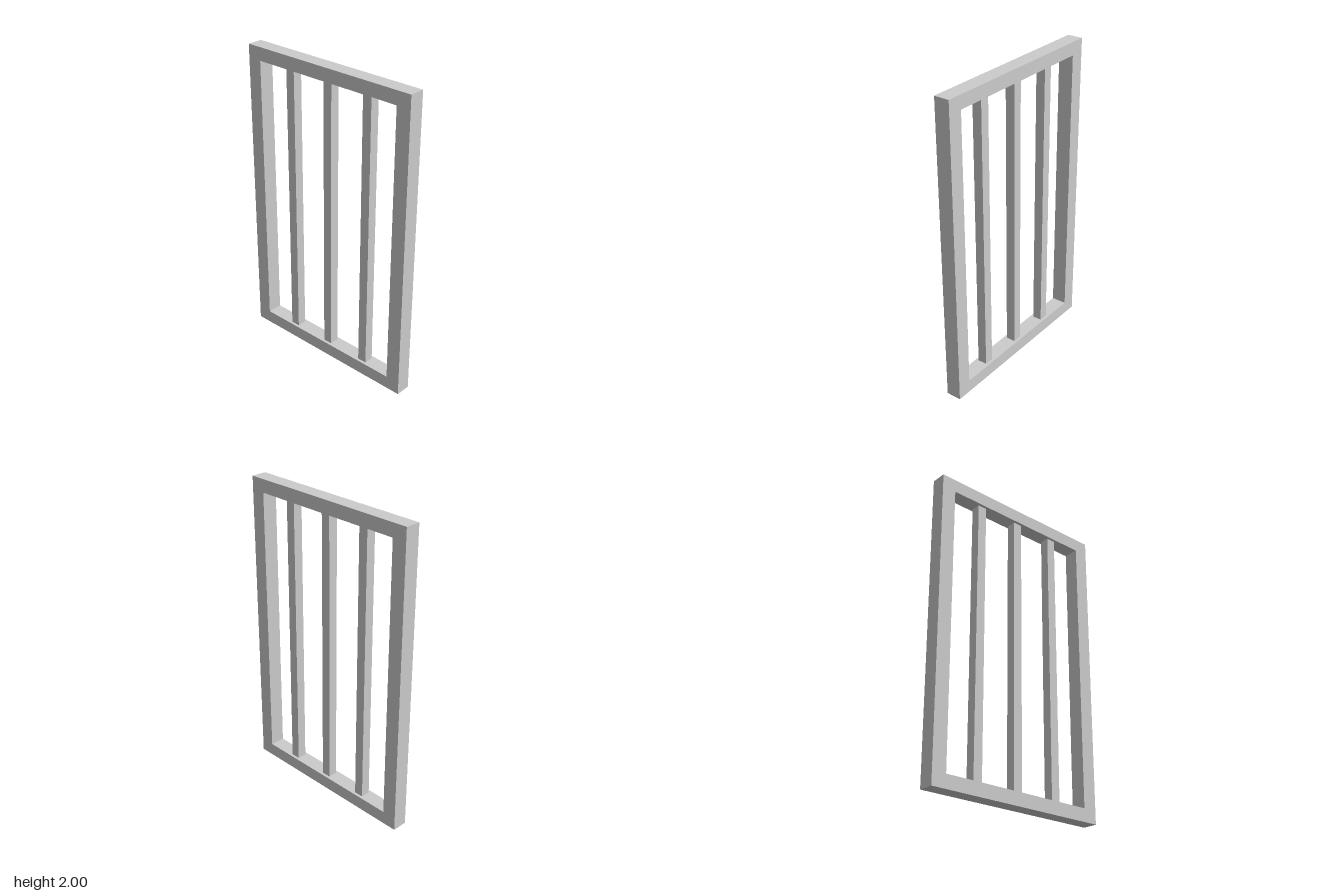
import * as THREE from 'three';

const material = new THREE.MeshStandardMaterial({ color: 0xcccccc, flatShading: true });

// Counter-clockwise rectangle outline
function rectangle(target, x0, y0, x1, y1) {
  target.moveTo(x0, y0);
  target.lineTo(x1, y0);
  target.lineTo(x1, y1);
  target.lineTo(x0, y1);
  target.closePath();
  return target;
}

export function createModel() {
  const group = new THREE.Group();
  group.name = 'barredWindow';

  const halfWidth = 0.628, height = 2, depth = 0.1;
  const stile = 0.096, rail = 0.086;

  // Outer frame: one outline with a rectangular opening, turned to run along z
  const outline = rectangle(new THREE.Shape(), -halfWidth, 0, halfWidth, height);
  outline.holes.push(rectangle(new THREE.Path(),
    -halfWidth + stile, rail, halfWidth - stile, height - rail));
  const frameGeometry = new THREE.ExtrudeGeometry(outline, { depth, bevelEnabled: false });
  frameGeometry.translate(0, 0, -depth / 2).rotateY(Math.PI / 2);
  const frame = new THREE.Mesh(frameGeometry, material);
  frame.name = 'frame';
  group.add(frame);

  // Three square upright bars between the rails
  const barSize = 0.062;
  const barGeometry = new THREE.BoxGeometry(barSize, height - 2 * rail, barSize);
  for (let i = -1; i <= 1; i++) {
    const bar = new THREE.Mesh(barGeometry, material);
    bar.name = `bar${i + 2}`;
    bar.position.set(0, height / 2, 0.006 + i * 0.302);
    group.add(bar);
  }

  return group;
}
